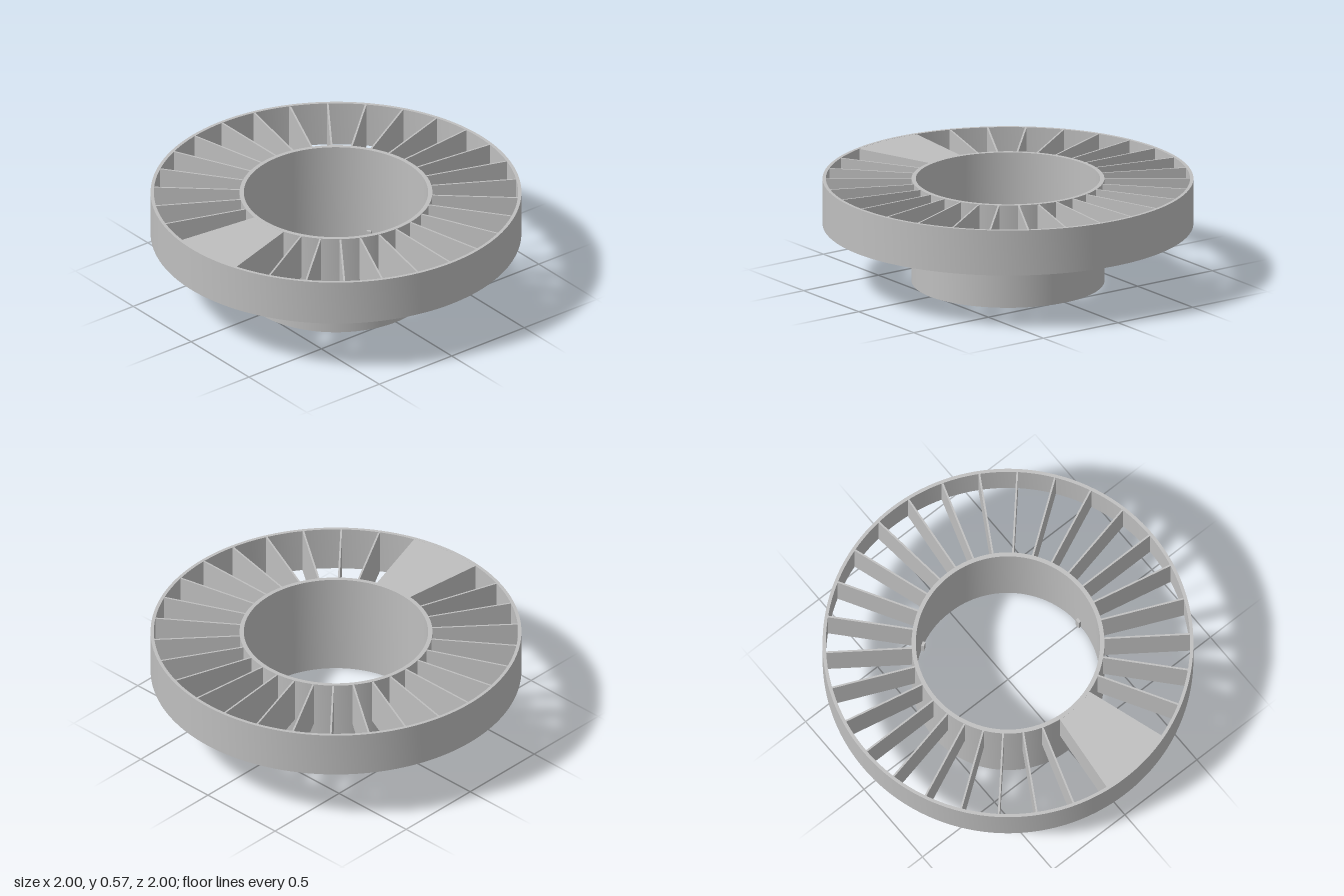
import * as THREE from 'three';
import { toCreasedNormals } from 'three/addons/utils/BufferGeometryUtils.js';

const TOP = 0.575, RIM_BOTTOM = 0.322;
const DEG = Math.PI / 180;

// Rectangular section revolved about y, with sharp edges
function band(inner, outer, bottom, top, segments, start = 0, sweep = Math.PI * 2) {
  const profile = [[outer, bottom], [outer, top], [inner, top], [inner, bottom], [outer, bottom]]
    .map(([r, y]) => new THREE.Vector2(r, y));
  return toCreasedNormals(new THREE.LatheGeometry(profile, segments, start, sweep), 0.6);
}

export function createModel() {
  const model = new THREE.Group();
  const grey = new THREE.MeshStandardMaterial({ color: 0xbfbfbf });
  grey.name = 'plainGrey';

  const add = (name, geometry) => {
    const mesh = new THREE.Mesh(geometry, grey);
    mesh.name = name;
    model.add(mesh);
    return mesh;
  };

  // Box placed at a radius and turned by an angle from +x towards +z
  const addRadial = (name, geometry, radius, y, angle) => {
    const mesh = add(name, geometry);
    mesh.position.set(radius * Math.cos(angle), y, radius * Math.sin(angle));
    mesh.rotation.y = -angle;
  };

  // Hub sleeve and outer rim
  add('hub', band(0.497, 0.52, 0, TOP, 128));
  add('outerRim', band(0.982, 1, RIM_BOTTOM, TOP, 160));

  // Thirty upright radial fins
  const finHeight = TOP - RIM_BOTTOM - 0.002;
  const fin = new THREE.BoxGeometry(0.476, finHeight, 0.01);
  for (let i = 0; i < 30; i++) {
    addRadial('fin', fin, 0.75, (TOP + RIM_BOTTOM) / 2, i * 12 * DEG);
  }

  // Cover plate closing two cells at the front
  add('coverPlate', band(0.515, 0.99, TOP - 0.012, TOP - 0.0005, 24, -6 * DEG, 24 * DEG));

  // Three small locating tabs inside the foot of the hub
  const tab = new THREE.BoxGeometry(0.026, 0.08, 0.026);
  for (let i = 0; i < 3; i++) addRadial('tab', tab, 0.494, 0.042, i * 120 * DEG);

  return model;
}
